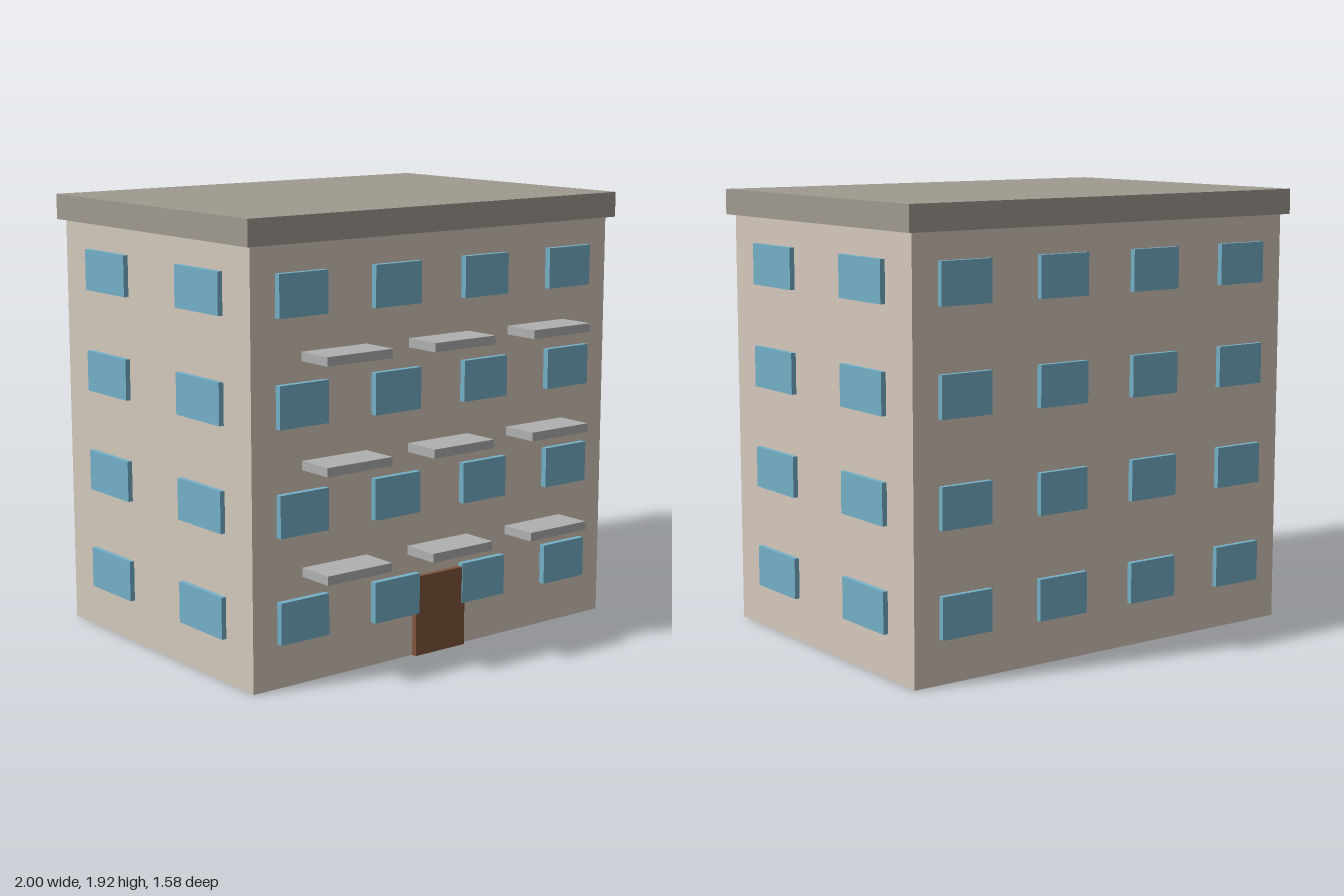
import * as THREE from 'three';

const paint = (color) => new THREE.MeshStandardMaterial({ color });

export function createModel() {
  const building = new THREE.Group();
  building.name = 'apartmentBuilding';
  const wall = paint(0xd4c9bc), stone = paint(0xa09a90), glass = paint(0x74b0c8);
  const wood = paint(0x80553c), slab = paint(0xb0b0b0);

  // Box given by its extents along each axis
  function block(name, material, [x0, x1], [y0, y1], [z0, z1]) {
    const mesh = new THREE.Mesh(new THREE.BoxGeometry(x1 - x0, y1 - y0, z1 - z0), material);
    mesh.position.set((x0 + x1) / 2, (y0 + y1) / 2, (z0 + z1) / 2);
    mesh.name = name;
    building.add(mesh);
  }
  const span = (centre, size) => [centre - size / 2, centre + size / 2];

  const side = 0.97, front = 0.624, back = -0.76;
  const depth = 0.028, inset = 0.02;

  // Main volume and overhanging flat roof
  block('walls', wall, [-side, side], [0, 1.81], [back, front]);
  block('roof', stone, [-1, 1], [1.81, 1.92], [-0.788, 0.654]);

  // Entrance, just behind the faces of the windows beside it
  block('door', wood, [-0.137, 0.137], [0, 0.35], [front - inset, 0.648]);

  for (let floor = 0; floor < 4; floor++) {
    const y = span(0.277 + floor * 0.4435, 0.177);

    // Four windows on the front and back
    for (const x of [-0.728, -0.242, 0.242, 0.728]) {
      block('frontWindow', glass, span(x, 0.243), y, [front - inset, front + depth]);
      block('backWindow', glass, span(x, 0.243), y, [back - 0.024, back + inset]);
    }

    // Two windows on each side
    for (const z of [0.281, -0.415]) {
      block('leftWindow', glass, [side - inset, side + 0.022], y, span(z, 0.31));
      block('rightWindow', glass, [-side - 0.022, -side + inset], y, span(z, 0.31));
    }

    // Balcony slabs above the lower three floors
    if (floor < 3) {
      for (const x of [-0.555, 0, 0.555]) {
        block('balconySlab', slab, span(x, 0.332), span(0.468 + floor * 0.4435, 0.038), [front - inset, 0.792]);
      }
    }
  }
  return building;
}
